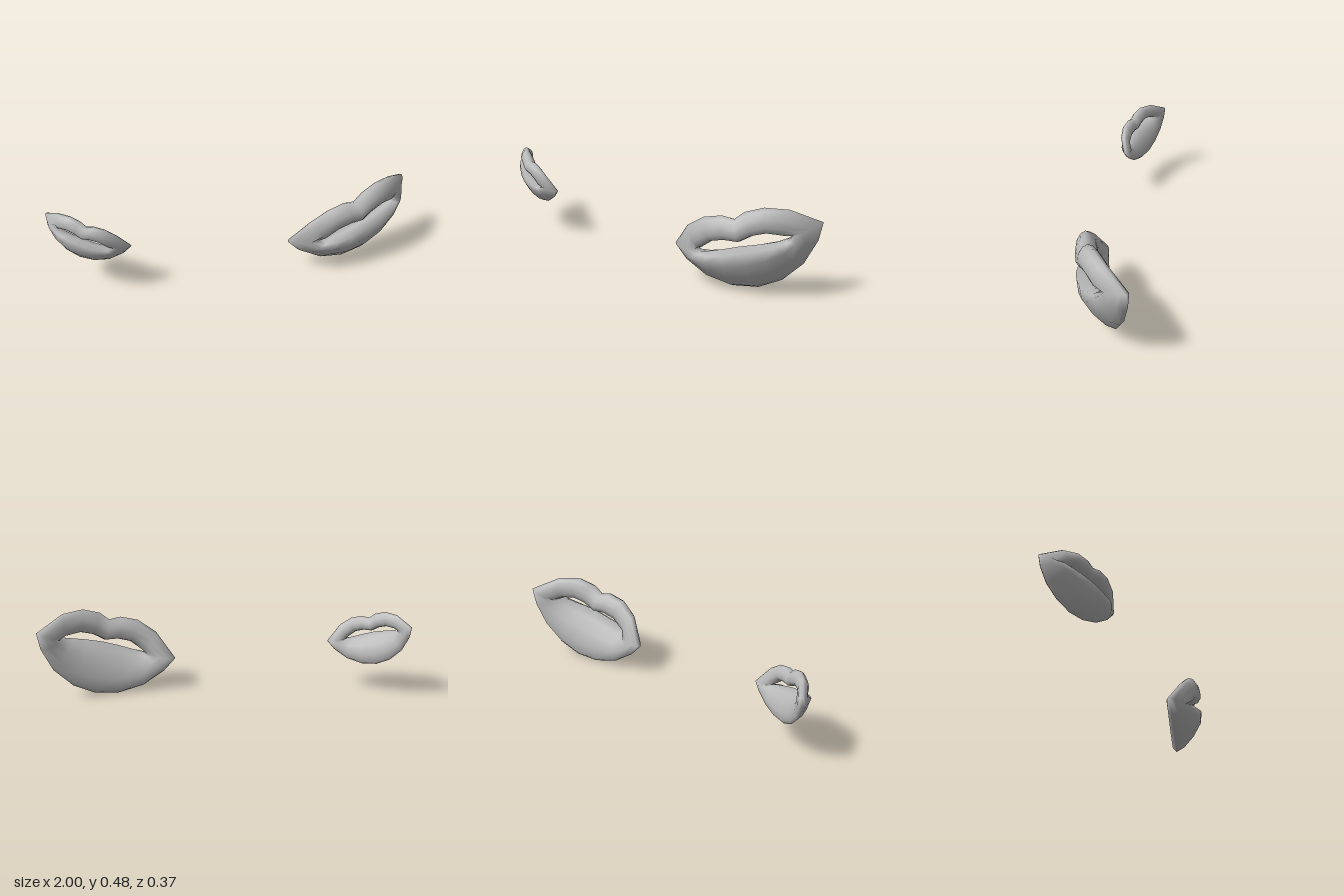
import * as THREE from 'three';

// Right half of the mouth, lower centre round the corner to upper centre:
// [outer x, outer y, inner x, inner y, outer z, inner z, half depth],
// with the mouth corners at x = -1 and 1; the upper lip sits further forward
const lower = [0.06, 0.36, 0.24];
const upper = [0.32, 0.31, 0.18];
const half = [
  [0, -0.73, 0, -0.05, ...lower],
  [0.33, -0.67, 0.24, -0.06, ...lower],
  [0.65, -0.49, 0.45, -0.07, ...lower],
  [0.89, -0.22, 0.58, -0.07, ...lower],
  [1, 0, 0.63, -0.06, 0, 0.22, 0.2],
  [0.68, 0.28, 0.56, -0.03, ...upper],
  [0.4, 0.38, 0.37, 0.05, ...upper],
  [0.15, 0.37, 0.18, 0.05, ...upper],
  [0, 0.3, 0, 0, ...upper],
];

// How far forward the mouth bows at a distance from its middle
const bow = (u) => 1 - Math.abs(u) ** 2.6;

// A closed ring of egg-shaped cross-sections, narrower at the outer rim
function lipGeometry() {
  const mirrored = half.slice(1, -1).reverse().map(([a, b, c, ...rest]) => [-a, b, -c, ...rest]);
  const stations = [...half, ...mirrored];
  const sides = 10;
  const positions = [];
  const index = [];
  stations.forEach(([ox, oy, ix, iy, oz, iz, halfDepth], i) => {
    const outerZ = oz * bow(ox);
    const innerZ = iz * bow(ix);
    const mid = (ox + ix) / 2;
    const depth = halfDepth * (1 - 0.4 * mid * mid);
    for (let j = 0; j < sides; j++) {
      const a = (j / sides) * Math.PI * 2;
      const t = (1 - Math.cos(a)) / 2;
      positions.push(
        ox + (ix - ox) * t,
        oy + (iy - oy) * t,
        outerZ + (innerZ - outerZ) * t + depth * Math.sin(a) * (0.6 + 0.4 * t),
      );
      const n = ((i + 1) % stations.length) * sides;
      const k = (j + 1) % sides;
      const p = i * sides;
      index.push(p + j, n + j, n + k, p + j, n + k, p + k);
    }
  });
  const geometry = new THREE.BufferGeometry();
  geometry.setAttribute('position', new THREE.Float32BufferAttribute(positions, 3));
  geometry.setIndex(index);
  geometry.computeVertexNormals();
  return geometry;
}

export function createModel() {
  const group = new THREE.Group();
  group.name = 'lipsPair';
  const grey = new THREE.MeshStandardMaterial({ color: 0xb8b8b8 });
  grey.name = 'lipGrey';
  const geometry = lipGeometry();

  // Stretch the mouth between its two corner points, facing level
  function addLips(name, cornerA, cornerB) {
    const a = new THREE.Vector3(...cornerA);
    const b = new THREE.Vector3(...cornerB);
    const x = b.clone().sub(a);
    const size = x.length() / 2;
    x.normalize();
    const z = new THREE.Vector3(-x.z, 0, x.x).normalize();
    const y = z.clone().cross(x);
    const lips = new THREE.Mesh(geometry, grey);
    lips.name = name;
    lips.quaternion.setFromRotationMatrix(new THREE.Matrix4().makeBasis(x, y, z));
    lips.scale.setScalar(size);
    lips.position.copy(a.add(b).multiplyScalar(0.5));
    group.add(lips);
  }

  addLips('largeLips', [0.29, 0.18, 0.08], [1, 0.4, -0.18]);
  addLips('smallLips', [-1, 0.42, -0.035], [-0.565, 0.28, 0.135]);
  return group;
}
